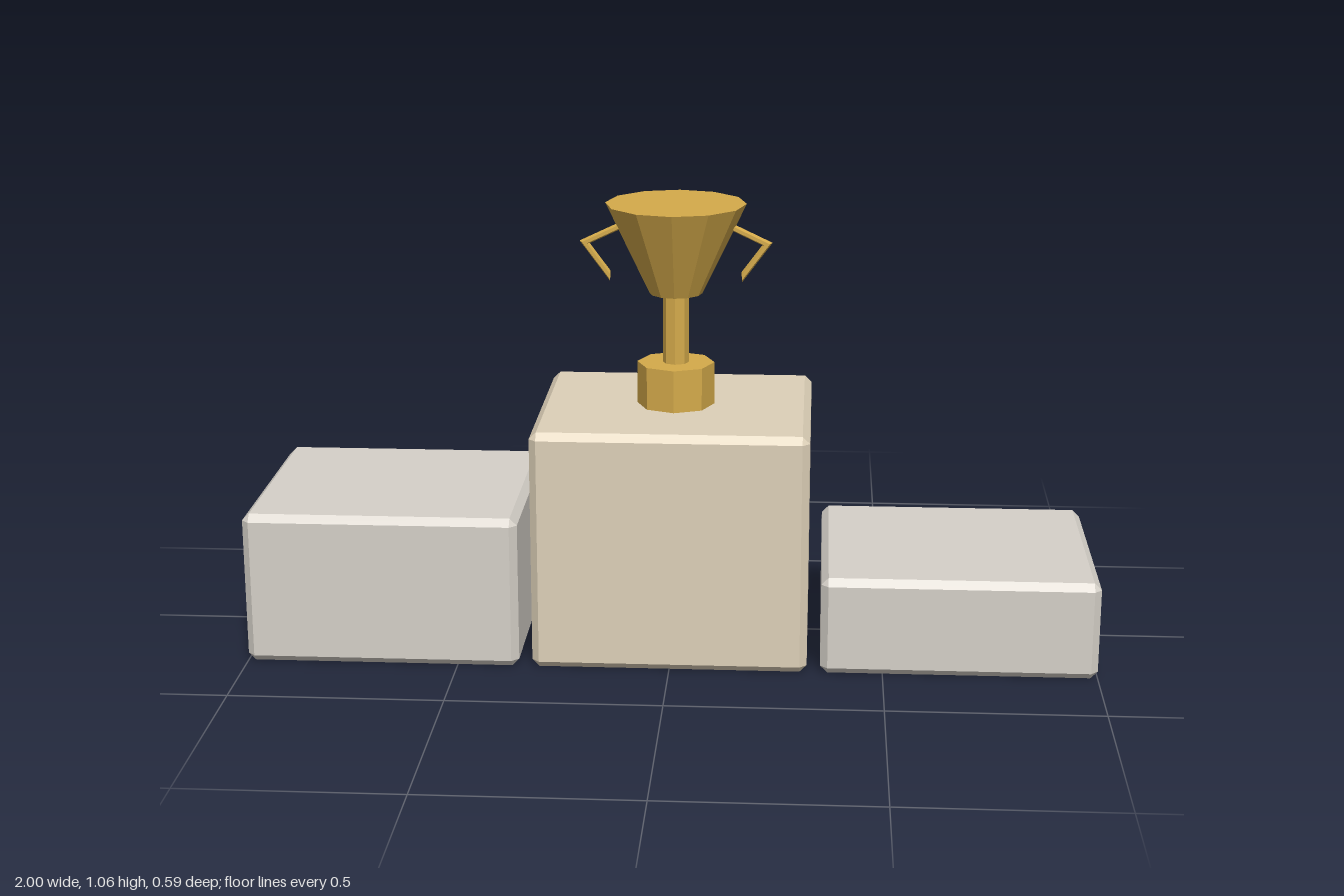
import * as THREE from 'three';
import { ConvexGeometry } from 'three/addons/geometries/ConvexGeometry.js';

const Z = 0.01; // blocks and trophy share this depth centre

const mat = (color, side = THREE.FrontSide) =>
  new THREE.MeshStandardMaterial({ color, flatShading: true, side });

function part(parent, name, geometry, material, x = 0, y = 0, z = 0) {
  const mesh = new THREE.Mesh(geometry, material);
  mesh.name = name;
  mesh.position.set(x, y, z);
  parent.add(mesh);
  return mesh;
}

// Box with every edge and corner cut by c
function chamferBox(w, h, d, c) {
  const pts = [];
  for (const sx of [-1, 1]) for (const sy of [-1, 1]) for (const sz of [-1, 1]) {
    const p = [sx * w / 2, sy * h / 2, sz * d / 2];
    const q = [p[0] - sx * c, p[1] - sy * c, p[2] - sz * c];
    pts.push(
      new THREE.Vector3(p[0], q[1], q[2]),
      new THREE.Vector3(q[0], p[1], q[2]),
      new THREE.Vector3(q[0], q[1], p[2]));
  }
  return new ConvexGeometry(pts);
}

export function createModel() {
  const group = new THREE.Group();
  const gold = mat(0xd4aa4a), bronze = mat(0xd07f38);
  const stone = mat(0xd5d0c8), cream = mat(0xddd0b8);

  // Three podium steps, each with a plain raised marker on its back
  const steps = [
    { name: 'rightStep', x: -0.677, h: 0.365, m: stone, mark: gold, mw: 0.06, my: 0.19 },
    { name: 'centreStep', x: 0, h: 0.575, m: cream, mark: gold, mw: 0.02, my: 0.265 },
    { name: 'leftStep', x: 0.677, h: 0.235, m: stone, mark: bronze, mw: 0.055, my: 0.145 },
  ];
  for (const s of steps) {
    part(group, s.name, chamferBox(0.646, s.h, 0.57, 0.017), s.m, s.x, s.h / 2, Z);
    part(group, s.name + 'Marker', new THREE.BoxGeometry(s.mw, 0.13, 0.03), s.mark, s.x, s.my, -0.277);
  }

  // Trophy
  const trophy = new THREE.Group();
  trophy.name = 'trophy';
  trophy.position.z = Z;
  group.add(trophy);
  part(trophy, 'trophyBase', new THREE.CylinderGeometry(0.092, 0.092, 0.104, 8), gold, 0, 0.625);
  part(trophy, 'trophyStem', new THREE.CylinderGeometry(0.031, 0.031, 0.18, 8), gold, 0, 0.76);
  part(trophy, 'trophyCup', new THREE.CylinderGeometry(0.166, 0.063, 0.215, 12), gold, 0, 0.9525);

  // Angular handles: an arc of only two segments, mirrored by a half turn
  const handleMat = mat(0xd4aa4a, THREE.DoubleSide);
  const arc = new THREE.TorusGeometry(0.0644, 0.0125, 6, 2, 3.53);
  arc.rotateZ(-1.52);
  arc.translate(0.1525, 0.9494, 0);
  part(trophy, 'leftHandle', arc, handleMat);
  part(trophy, 'rightHandle', arc, handleMat).rotation.y = Math.PI;

  return group;
}
